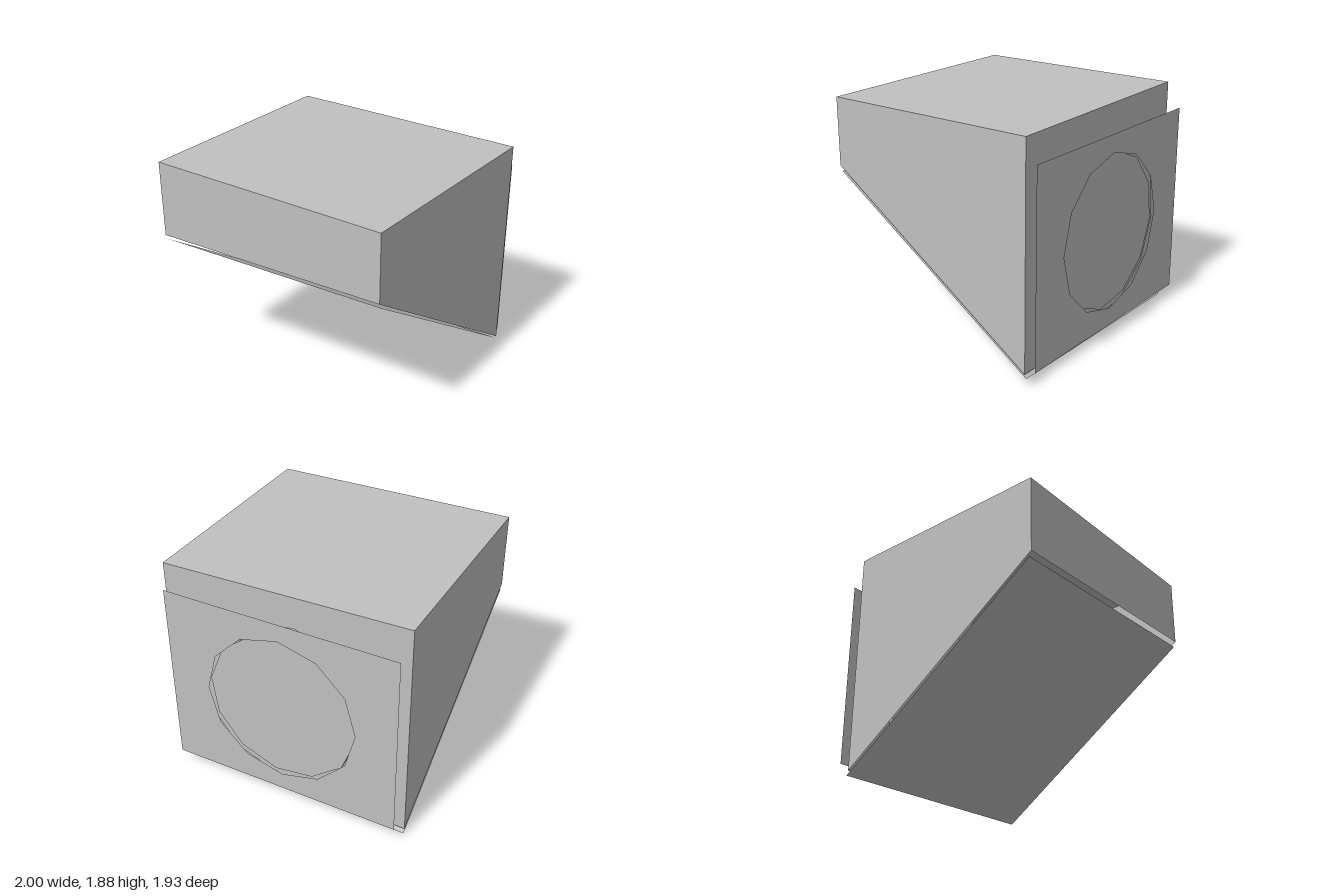
import * as THREE from 'three';

const grey = new THREE.MeshStandardMaterial({ color: 0xc0c0c0, side: THREE.DoubleSide });
grey.name = 'plain grey';

function part(name, geometry) {
  const mesh = new THREE.Mesh(geometry, grey);
  mesh.name = name;
  return mesh;
}

// Flat four-cornered faces, corners counter-clockwise seen from outside
function quads(faces) {
  const pos = [];
  for (const [a, b, c, d] of faces) pos.push(...a, ...b, ...c, ...a, ...c, ...d);
  const g = new THREE.BufferGeometry();
  g.setAttribute('position', new THREE.Float32BufferAttribute(pos, 3));
  g.computeVertexNormals();
  return g;
}

// Twelve-sided outline, turned by an angle in degrees
function outline(radius, turn, PathType) {
  const pts = [];
  for (let i = 0; i < 12; i++) {
    const a = THREE.MathUtils.degToRad(turn + i * 30);
    pts.push(new THREE.Vector2(radius * Math.cos(a), radius * Math.sin(a)));
  }
  return new PathType(pts);
}

// Flat-sided disc between two depths, centred on the back
const CENTRE_Y = 0.91;
function disc(name, radius, zBack, zFront) {
  const g = new THREE.ExtrudeGeometry(outline(radius, 7, THREE.Shape),
    { depth: zFront - zBack, bevelEnabled: false });
  g.translate(0, CENTRE_Y, zBack);
  return part(name, g);
}

export function createModel() {
  const model = new THREE.Group();
  model.name = 'wedgeCabinet';

  // Slightly skewed corners of the cabinet and the sloping panel
  const frontZ = x => 0.937 - 0.03 * x;
  const backZ = x => -0.866 - 0.031 * x;
  const topFront = x => [x, 1.88, frontZ(x)];
  const topBack = x => [x, 1.88, backZ(x)];
  const lowFront = x => [x, 1.295 + 0.037 * x, frontZ(x)];
  const lowBack = x => [x, 0.073 + 0.037 * x, backZ(x)];
  const panelFront = x => [x, 1.254 + 0.037 * x, frontZ(x) - 0.018];
  const panelBack = x => [x, 0.04 + 0.04 * x, backZ(x) - 0.015];

  // Cabinet shell, open along the slope
  model.add(part('cabinetShell', quads([
    [topFront(-1), topFront(1), topBack(1), topBack(-1)],
    [lowFront(-1), lowFront(1), topFront(1), topFront(-1)],
    [lowBack(1), lowBack(-1), topBack(-1), topBack(1)],
    [lowFront(1), lowBack(1), topBack(1), topFront(1)],
    [lowBack(-1), lowFront(-1), topFront(-1), topBack(-1)],
  ])));

  // Thin panel hung just below the slope
  model.add(part('slopingPanel', quads([
    [panelBack(-1), panelBack(1), panelFront(1), panelFront(-1)],
  ])));

  // Stepped round boss on the back
  model.add(disc('largeDisc', 0.715, -0.904, -0.8));
  model.add(disc('smallDisc', 0.63, -0.936, -0.904));

  // Thin back plate with a round opening
  const plate = new THREE.Shape([[-0.97, -0.78], [0.97, -0.78], [0.97, 0.78], [-0.97, 0.78]]
    .map(([x, y]) => new THREE.Vector2(x, y)));
  plate.holes.push(outline(0.633, 0, THREE.Path));
  const plateMesh = part('backPlate', new THREE.ShapeGeometry(plate).rotateY(Math.PI));
  plateMesh.position.set(0, CENTRE_Y, -0.967);
  model.add(plateMesh);

  return model;
}
